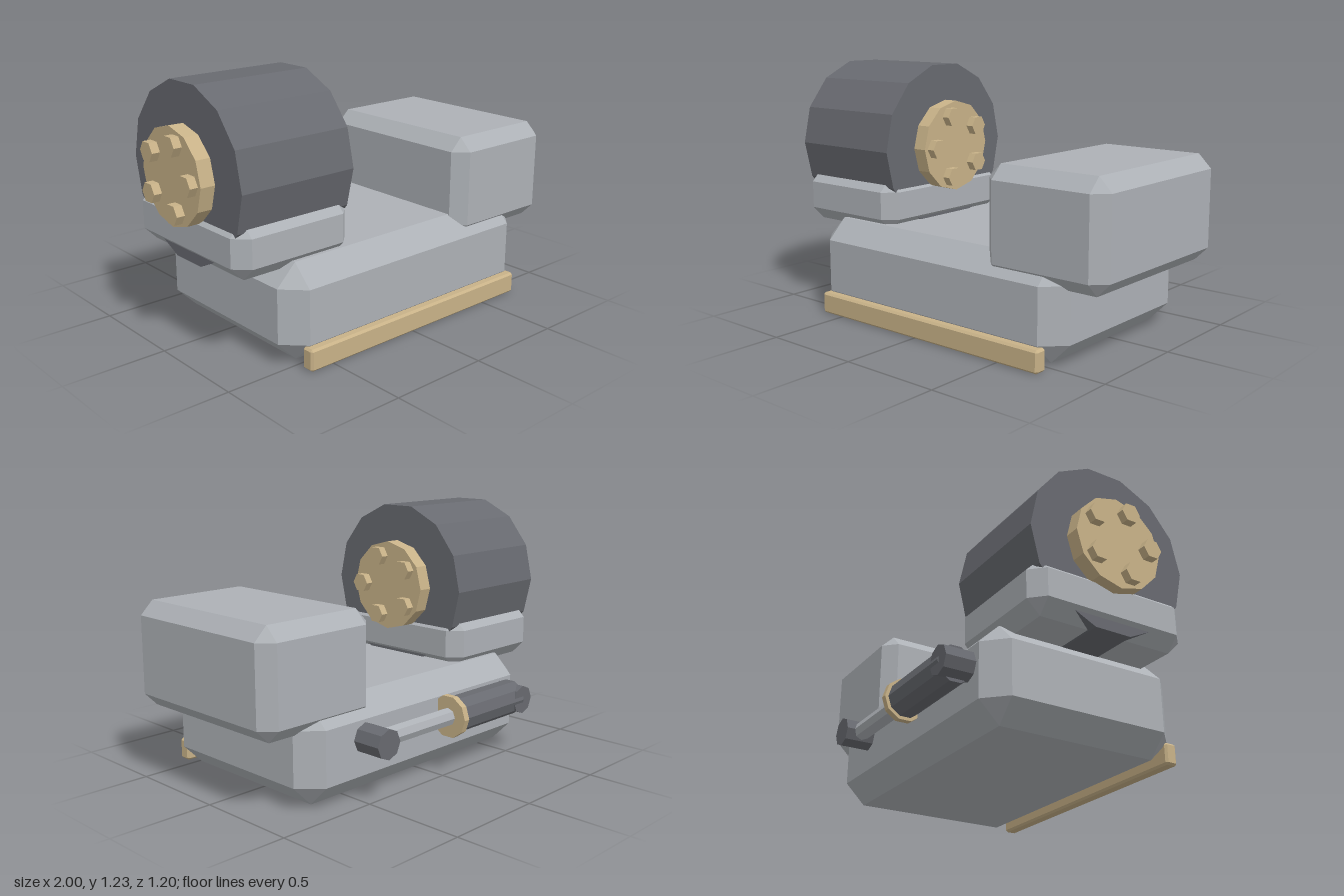
import * as THREE from 'three';
import { ConvexGeometry } from 'three/addons/geometries/ConvexGeometry.js';

const material = (name, color) => {
  const m = new THREE.MeshStandardMaterial({ color, flatShading: true });
  m.name = name;
  return m;
};

// Box with flat chamfers on every edge, given by its min and max corners
function chamferBox(min, max, bevel) {
  const points = [];
  for (const sx of [0, 1]) for (const sy of [0, 1]) for (const sz of [0, 1]) {
    const side = [sx, sy, sz];
    for (let face = 0; face < 3; face++) {
      const p = side.map((s, i) => {
        const inset = i === face ? 0 : bevel;
        return s ? max[i] - inset : min[i] + inset;
      });
      points.push(new THREE.Vector3(...p));
    }
  }
  return new ConvexGeometry(points);
}

// Prism along x from x0 to x1, with corners on the z axis
function prismX(x0, x1, y, z, radius, sides) {
  return new THREE.CylinderGeometry(radius, radius, x1 - x0, sides)
    .rotateZ(-Math.PI / 2)
    .translate((x0 + x1) / 2, y, z);
}

// Prism along z from z0 to z1
function prismZ(z0, z1, x, y, radius, sides) {
  return new THREE.CylinderGeometry(radius, radius, z1 - z0, sides)
    .rotateX(Math.PI / 2)
    .translate(x, y, (z0 + z1) / 2);
}

export function createModel() {
  const model = new THREE.Group();
  model.name = 'machine';
  const grey = material('light grey metal', 0xadb1b6);
  const dark = material('dark grey metal', 0x686a70);
  const brass = material('brass', 0xc8b288);

  const add = (name, geometry, mat, parent = model) => {
    const mesh = new THREE.Mesh(geometry, mat);
    mesh.name = name;
    parent.add(mesh);
  };

  // Body blocks and front trim
  add('base', chamferBox([-0.71, 0.01, -0.435], [0.80, 0.47, 0.567], 0.1), grey);
  add('sideBlock', chamferBox([0.36, 0.35, -0.405], [1.0, 0.852, 0.54], 0.065), grey);
  add('drumCradle', chamferBox([-0.905, 0.43, -0.345], [-0.27, 0.695, 0.473], 0.065), grey);
  add('frontTrim', chamferBox([-0.632, 0, 0.54], [0.727, 0.105, 0.604], 0.01), brass);

  // Drum with a bolted hub on each end
  const drum = new THREE.Group();
  drum.name = 'drumAssembly';
  model.add(drum);
  const cy = 0.83, cz = 0.064;
  add('drum', prismX(-0.888, -0.282, cy, cz, 0.414, 14), dark, drum);
  add('hub', prismX(-0.96, -0.21, cy, cz, 0.226, 12), brass, drum);
  for (let i = 0; i < 5; i++) {
    const a = (i / 5) * Math.PI * 2;
    const y = cy + 0.158 * Math.sin(a), z = cz + 0.158 * Math.cos(a);
    add('rightBolt', prismX(-1.0, -0.95, y, z, 0.049, 6), brass, drum);
    add('leftBolt', prismX(-0.22, -0.17, y, z, 0.049, 6), brass, drum);
  }

  // Hydraulic piston across the back
  const piston = new THREE.Group();
  piston.name = 'piston';
  model.add(piston);
  const py = 0.285, pz = -0.497;
  add('barrel', prismX(-0.525, -0.05, py, pz, 0.088, 10), dark, piston);
  add('collar', prismX(-0.067, -0.034, py, pz, 0.104, 10), brass, piston);
  add('rod', prismX(-0.05, 0.46, py, pz, 0.044, 8), grey, piston);
  for (const x of [-0.52, 0.46]) add('pivot', prismZ(-0.58, -0.42, x, py, 0.071, 8), dark, piston);

  return model;
}
